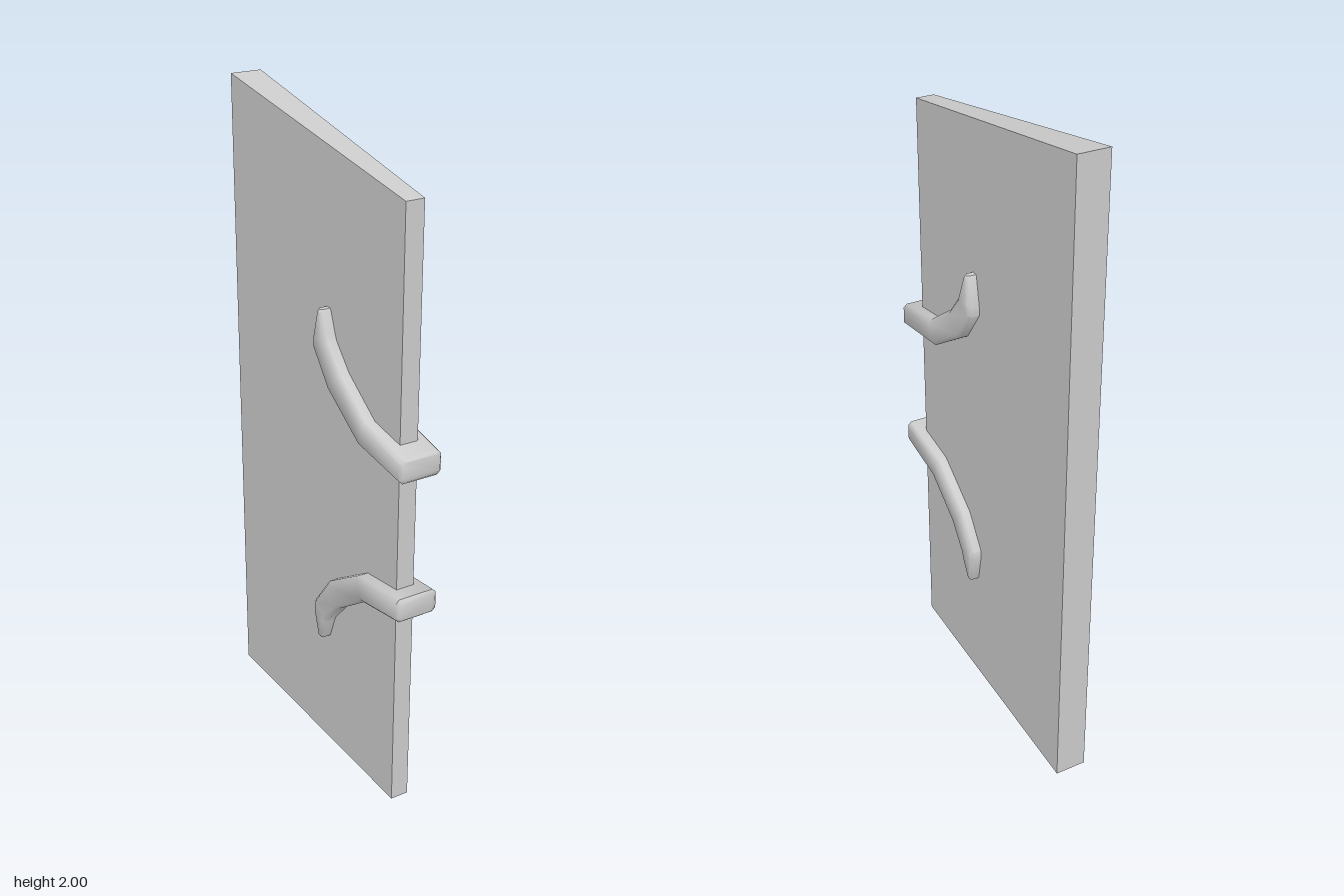
import * as THREE from 'three';
import { toCreasedNormals } from 'three/addons/utils/BufferGeometryUtils.js';

const material = new THREE.MeshStandardMaterial({ color: 0xcccccc });

// Tapered slab: thin front edge, thick back edge, sloping top
function panelGeometry() {
  const geo = new THREE.BoxGeometry(2, 2, 2);
  const p = geo.attributes.position;
  for (let i = 0; i < p.count; i++) {
    const front = p.getZ(i) > 0;
    const x = Math.sign(p.getX(i)) * (front ? 0.028 : 0.048);
    const y = p.getY(i) > 0 ? (front ? 1.85 : 2) : 0;
    p.setXYZ(i, x - 0.002, y, front ? 0.41 : -0.475);
  }
  geo.computeVertexNormals();
  return geo;
}

// Clip stations from front to tip: lower [z, y], upper [z, y], half width
const stations = [
  [0.475, 1.112, 0.475, 1.17, 0.058],
  [0.467, 1.104, 0.467, 1.177, 0.066],
  [0.265, 1.132, 0.29, 1.208, 0.069],
  [0.1, 1.238, 0.159, 1.302, 0.07],
  [0.026, 1.339, 0.095, 1.375, 0.073],
  [0.026, 1.37, 0.088, 1.39, 0.074],
  [0.042, 1.454, 0.065, 1.454, 0.068],
  [0.045, 1.46, 0.062, 1.46, 0.064],
];

// Chamfered band wrapping the front edge and curving along both faces
function clipGeometry(flip) {
  const rings = stations.map(([z0, y0, z1, y1, w]) => {
    const h = Math.hypot(z1 - z0, y1 - y0);
    const r = Math.min(0.011, h * 0.3), e = r / h, v = w - r;
    const ring = [
      [w, e], [w, 1 - e], [v, 1], [-v, 1],
      [-w, 1 - e], [-w, e], [-v, 0], [v, 0],
    ].map(([x, t]) => {
      const y = y0 + (y1 - y0) * t;
      return [x - 0.003, flip ? 1.85 - y : y, z0 + (z1 - z0) * t];
    });
    return flip ? ring.reverse() : ring;
  });
  const n = rings[0].length, index = [];
  for (let s = 0; s < rings.length - 1; s++) {
    for (let i = 0; i < n; i++) {
      const a = s * n + i, b = s * n + (i + 1) % n;
      index.push(a, a + n, b, a + n, b + n, b);
    }
  }
  // End caps
  const last = (rings.length - 1) * n;
  for (let i = 1; i < n - 1; i++) {
    index.push(0, i, i + 1, last, last + i + 1, last + i);
  }
  const geo = new THREE.BufferGeometry();
  geo.setAttribute('position', new THREE.Float32BufferAttribute(rings.flat(2), 3));
  geo.setIndex(index);
  return toCreasedNormals(geo, 0.85);
}

export function createModel() {
  const group = new THREE.Group();
  const add = (name, geo) => {
    const mesh = new THREE.Mesh(geo, material);
    mesh.name = name;
    group.add(mesh);
  };
  add('panel', panelGeometry());
  add('upperClip', clipGeometry(false));
  add('lowerClip', clipGeometry(true));
  return group;
}
